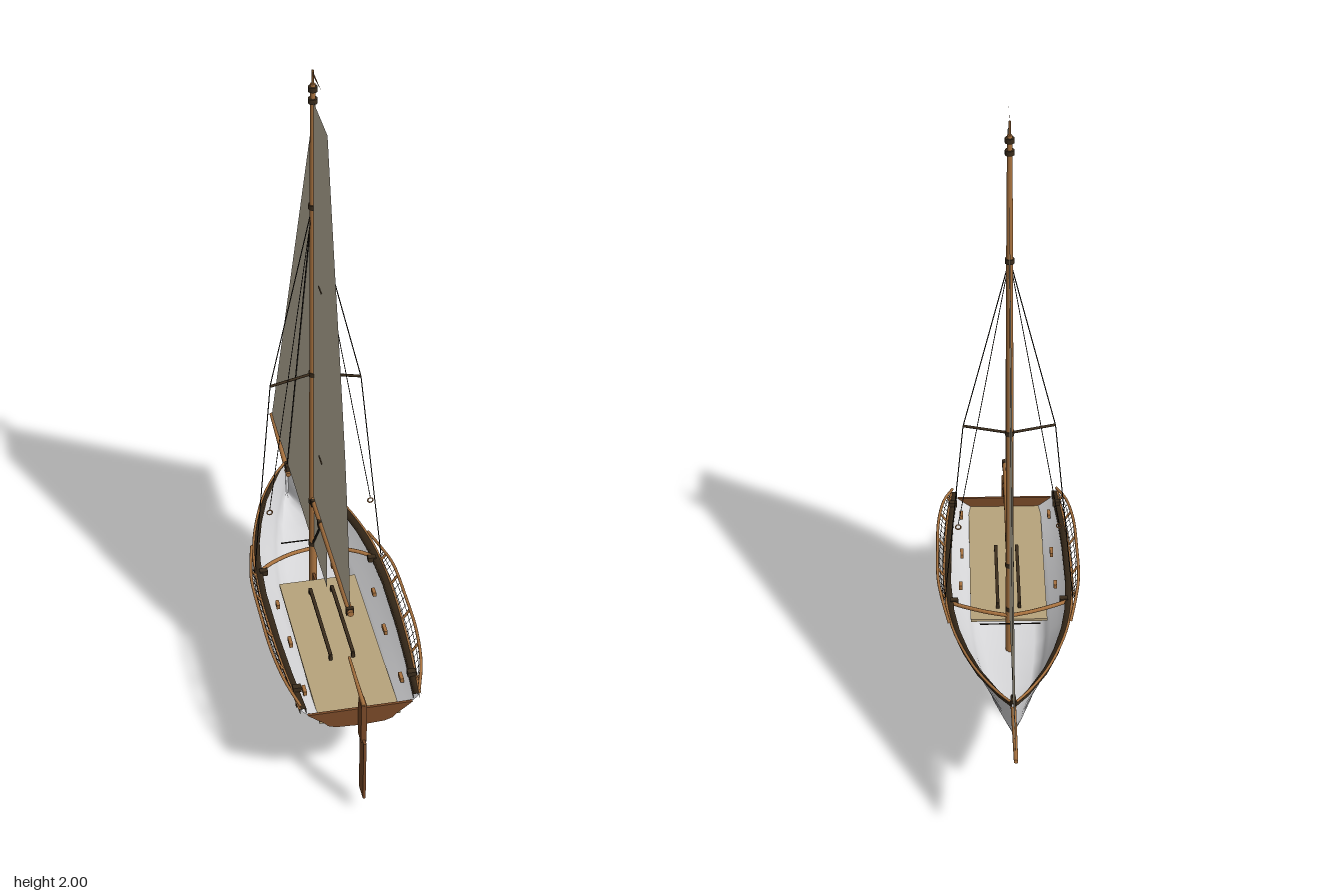
import * as THREE from 'three';

const mat = (name, color, side = THREE.FrontSide) => {
  const m = new THREE.MeshStandardMaterial({ color, side });
  m.name = name;
  return m;
};
const V = (x, y, z) => new THREE.Vector3(x, y, z);

// hull stations: z, half beam at sheer, keel height, sheer height
const STATIONS = [
  [-0.45, 0.004, 0.278, 0.39], [-0.4, 0.042, 0.27, 0.389], [-0.3, 0.098, 0.262, 0.387],
  [-0.2, 0.136, 0.257, 0.384], [-0.1, 0.164, 0.253, 0.381], [0, 0.181, 0.25, 0.379],
  [0.15, 0.191, 0.251, 0.376], [0.35, 0.188, 0.26, 0.373], [0.5, 0.18, 0.272, 0.37],
  [0.65, 0.167, 0.29, 0.367],
];
// half section: share of beam, share of depth
const SECTION = [[1, 1], [0.9, 0.8], [0.79, 0.6], [0.68, 0.42], [0.61, 0.3], [0.55, 0.15], [0.42, 0.05], [0, 0]];

function stationAt(z) {
  let i = 0;
  while (i < STATIONS.length - 2 && z > STATIONS[i + 1][0]) i++;
  const a = STATIONS[i], b = STATIONS[i + 1], t = (z - a[0]) / (b[0] - a[0]);
  return a.map((v, k) => v + (b[k] - v) * t);
}

// joins equal-length rows of points into one surface
function loft(rows) {
  const n = rows[0].length, pos = [], idx = [];
  rows.forEach((r) => r.forEach((p) => pos.push(p.x, p.y, p.z)));
  for (let i = 0; i < rows.length - 1; i++) {
    for (let j = 0; j < n - 1; j++) {
      const a = i * n + j, b = a + 1, c = a + n, d = c + 1;
      idx.push(a, c, b, b, c, d);
    }
  }
  const g = new THREE.BufferGeometry();
  g.setAttribute('position', new THREE.Float32BufferAttribute(pos, 3));
  g.setIndex(idx);
  g.computeVertexNormals();
  return g;
}

export function createModel() {
  const root = new THREE.Group();
  root.name = 'sailingDinghy';
  const white = mat('hullWhite', 0xdcdcde, THREE.DoubleSide);
  const wood = mat('sparWood', 0xa8723f);
  const brown = mat('mahogany', 0x7a4a28, THREE.DoubleSide);
  const dark = mat('darkTrim', 0x3a2c1c, THREE.DoubleSide);
  const tan = mat('deckTan', 0xb8a47c);
  const rope = mat('rigging', 0x1c1712);
  const cloth = mat('sailCloth', 0xc8bea8, THREE.DoubleSide);

  const add = (name, geo, m, x = 0, y = 0, z = 0) => {
    const mesh = new THREE.Mesh(geo, m);
    mesh.name = name;
    mesh.position.set(x, y, z);
    root.add(mesh);
    return mesh;
  };
  const box = (name, m, w, h, d, x, y, z) => add(name, new THREE.BoxGeometry(w, h, d), m, x, y, z);
  const rod = (name, m, a, b, r0, r1 = r0, sides = 8) => {
    const dir = b.clone().sub(a);
    const mesh = add(name, new THREE.CylinderGeometry(r1, r0, dir.length(), sides), m);
    mesh.position.copy(a).add(b).multiplyScalar(0.5);
    mesh.quaternion.setFromUnitVectors(V(0, 1, 0), dir.normalize());
    return mesh;
  };
  const tube = (name, m, pts, r, seg = 32) =>
    add(name, new THREE.TubeGeometry(new THREE.CatmullRomCurve3(pts), seg, r, 8), m);
  // flat outline in the centre plane, points given as [z, y]
  const sheet = (name, m, pts, x = 0) => {
    const g = new THREE.ShapeGeometry(new THREE.Shape(pts.map(([z, y]) => new THREE.Vector2(z, y))));
    g.rotateY(-Math.PI / 2);
    return add(name, g, m, x);
  };

  // hull shell
  const full = [...SECTION, ...SECTION.slice(0, -1).reverse().map(([u, v]) => [-u, v])];
  add('hull', loft(STATIONS.map(([z, w, k, s]) => full.map(([u, v]) => V(u * w, k + v * (s - k), z)))), white);

  // transom
  const [zt, wt, kt, st] = STATIONS[STATIONS.length - 1];
  const outline = full.slice(1, -1).map(([u, v]) => new THREE.Vector2(u * wt, kt + v * (st - kt)));
  add('transom', new THREE.ExtrudeGeometry(new THREE.Shape(outline), { depth: 0.008, bevelEnabled: false }), brown, 0, 0, zt - 0.004);

  // cockpit floor and foot straps
  box('cockpitFloor', tan, 0.232, 0.008, 0.61, 0, 0.315, 0.345);

  for (const s of [1, -1]) {
    box('footStrap', dark, 0.01, 0.006, 0.3, s * 0.033, 0.335, 0.25);
    for (const z of [0.1, 0.4]) box('strapFoot', dark, 0.01, 0.018, 0.01, s * 0.033, 0.327, z);

    // gunwale cap and outer rubbing strake
    add('gunwale', loft(STATIONS.map(([z, w, , y]) => [
      [1, -0.012], [1, 0.008], [0.9, 0.008], [0.9, -0.012],
    ].map(([u, dy]) => V(s * u * (w + 0.003), y + dy, z)))), dark);
    tube('rubbingStrake', wood, STATIONS.map(([z, w, , y]) => V(s * (w + 0.004), y + 0.006, z)), 0.004, 40);

    // side rack with struts and netting
    const rail = [[0.18, 0.388, -0.07], [0.2, 0.4, 0.03], [0.213, 0.412, 0.12], [0.215, 0.415, 0.28],
      [0.212, 0.412, 0.43], [0.195, 0.402, 0.56], [0.168, 0.385, 0.65]].map(([x, y, z]) => V(s * x, y, z));
    tube('rackRail', wood, rail, 0.0045, 40);
    const curve = new THREE.CatmullRomCurve3(rail);
    for (let i = 0; i <= 22; i++) {
      const p = curve.getPoint(0.2 + i * 0.033), q = stationAt(p.z);
      const edge = V(s * q[1], q[3], p.z);
      if (i % 5 === 1) {
        rod('rackStrut', wood, edge, p, 0.004);
        box('strutBracket', dark, 0.012, 0.03, 0.01, s * q[1] * 0.97, q[3] - 0.016, p.z);
      } else rod('netCord', rope, edge, p, 0.0008, 0.0008, 4);
    }
    for (const t of [0.33, 0.67]) {
      tube('netLine', rope, [0.2, 0.4, 0.6, 0.8, 0.93].map((u) => {
        const p = curve.getPoint(u), q = stationAt(p.z);
        return V(s * q[1], q[3], p.z).lerp(p, t);
      }), 0.0008, 16);
    }

    // deck fittings
    for (const [x, z, len] of [[0.145, 0.17, 0.025], [0.14, 0.34, 0.035], [0.14, 0.55, 0.03]]) {
      box('cleat', wood, 0.01, 0.014, len, s * x, 0.352, z);
    }
    for (const z of [0.05, 0.57]) box('sheetBlock', dark, 0.024, 0.016, 0.018, s * 0.165, 0.382, z);

    // curved beam from mast to gunwale
    tube('mastBeam', wood, [V(0, 0.385, -0.03), V(s * 0.07, 0.387, -0.012), V(s * 0.14, 0.385, 0.02), V(s * 0.175, 0.38, 0.045)], 0.006, 16);

    // spreader, shroud and trapeze wire
    const hound = V(0, 1.59, -0.025), tip = V(s * 0.132, 1.03, 0.015), ring = V(s * 0.15, 0.64, 0.083);
    rod('spreader', dark, V(0, 1.03, -0.025), tip, 0.004);
    rod('upperShroud', rope, hound, tip, 0.0016, 0.0016, 5);
    rod('lowerShroud', rope, tip, V(s * 0.193, 0.385, 0.055), 0.0016, 0.0016, 5);
    rod('trapezeWire', rope, hound, ring, 0.0012, 0.0012, 5);
    add('trapezeRing', new THREE.TorusGeometry(0.008, 0.002, 6, 16), wood, ring.x, 0.631, ring.z);
  }

  // jib track and stem post
  rod('jibTrack', rope, V(-0.09, 0.385, -0.07), V(0.09, 0.385, -0.07), 0.002);
  box('stemPost', white, 0.008, 0.11, 0.008, 0, 0.335, -0.45);
  box('stemFitting', dark, 0.014, 0.02, 0.03, 0, 0.391, -0.438);

  // mast, masthead and pennant
  rod('lowerMast', wood, V(0, 0.255, -0.025), V(0, 1.59, -0.025), 0.012, 0.0095, 16);
  rod('topMast', wood, V(0, 1.59, -0.025), V(0, 1.96, -0.025), 0.0095, 0.007, 16);
  for (const y of [0.41, 0.57, 1.03, 1.585, 1.91, 1.945]) {
    add('mastBand', new THREE.CylinderGeometry(0.013, 0.013, 0.014, 16), dark, 0, y, -0.025);
  }
  rod('pennantStaff', wood, V(0, 1.95, -0.025), V(0, 2, -0.025), 0.003);
  sheet('pennant', brown, [[-0.025, 1.984], [-0.025, 1.998], [0.085, 1.997]]);

  // boom, vang and bowsprit
  rod('boom', wood, V(0, 0.58, -0.015), V(0, 0.58, 0.515), 0.01, 0.009, 12);
  for (const z of [0, 0.1, 0.5]) box('boomFitting', dark, 0.022, 0.022, 0.012, 0, 0.58, z);
  rod('boomVang', rope, V(0, 0.42, -0.015), V(0, 0.575, 0.1), 0.004);
  rod('bowsprit', wood, V(0, 0.37, -0.42), V(0, 0.4, -0.714), 0.008, 0.006, 12);
  rod('forestay', rope, V(0, 1.59, -0.03), V(0, 0.395, -0.44), 0.002, 0.002, 5);

  // sails
  sheet('mainsail', cloth, [[-0.015, 0.585], [0.505, 0.585], [0.488, 0.72], [0.46, 0.88], [0.425, 1.04],
    [0.38, 1.2], [0.33, 1.37], [0.275, 1.55], [0.222, 1.73], [0.17, 1.91], [-0.015, 1.91]]);
  sheet('jib', cloth, [[-0.71, 0.402], [0.18, 0.402], [0.18, 0.575], [-0.032, 1.86]], 0.001);
  for (const [z, y] of [[0.08, 1.38], [0.09, 0.805]]) box('sailTelltale', dark, 0.006, 0.002, 0.04, 0, y, z);
  box('mainsheetBlock', wood, 0.012, 0.022, 0.016, 0, 0.563, 0.27);

  // rudder, tiller and daggerboard
  box('rudderStock', brown, 0.016, 0.135, 0.042, 0, 0.335, 0.68);
  box('rudderBlade', brown, 0.008, 0.21, 0.053, 0, 0.17, 0.692);
  rod('tiller', wood, V(0, 0.4, 0.7), V(0, 0.408, 0.5), 0.007, 0.004);
  box('daggerboard', brown, 0.007, 0.3, 0.07, 0, 0.15, 0);

  return root;
}
